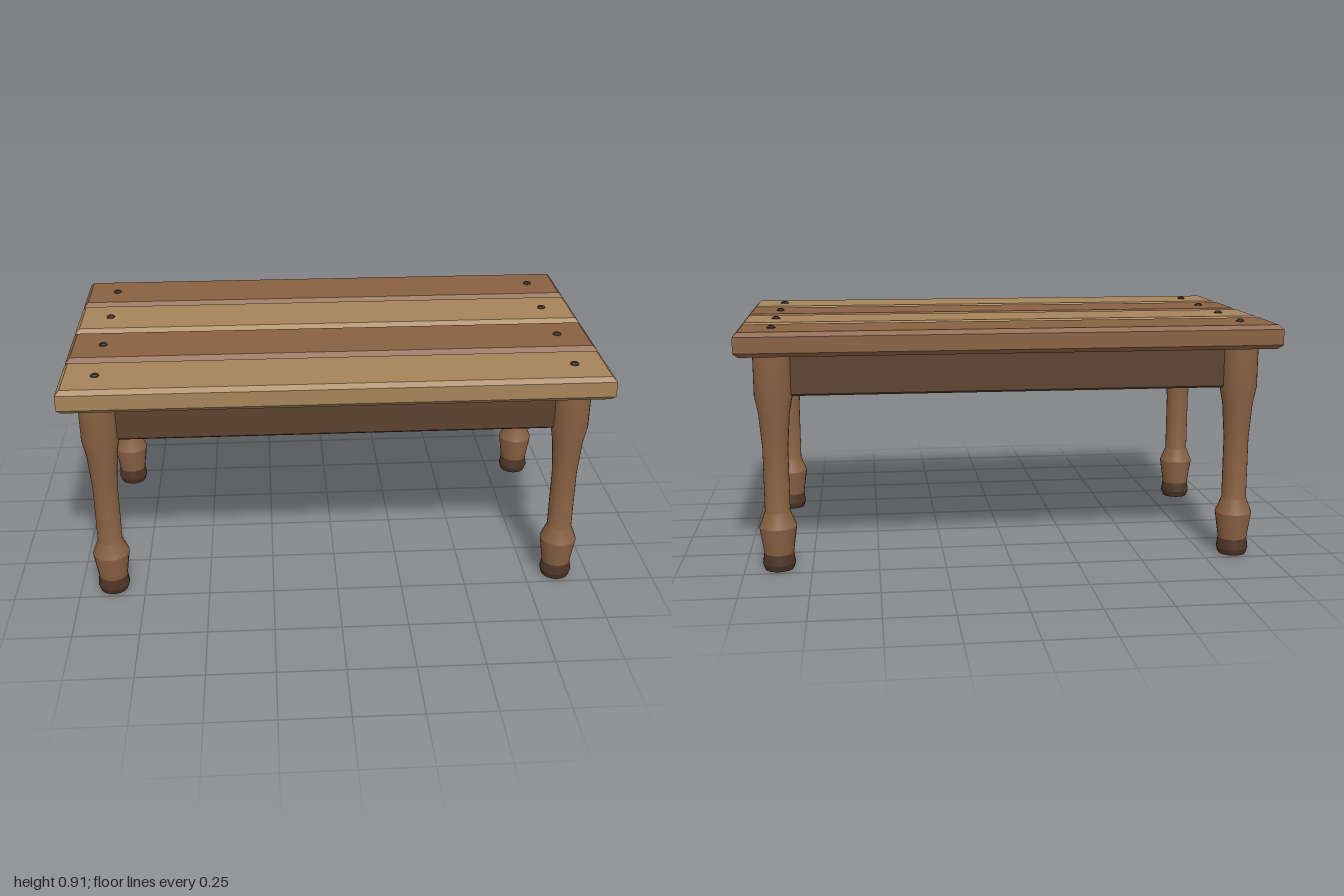
import * as THREE from 'three';
import { toCreasedNormals } from 'three/addons/utils/BufferGeometryUtils.js';

const material = (name, color) => new THREE.MeshStandardMaterial({ name, color });

// Box with chamfered top and bottom edges, standing on y = 0
function chamferedBoard(width, height, depth, chamfer) {
  const x = width / 2 - chamfer, z = depth / 2 - chamfer;
  const shape = new THREE.Shape([[-x, -z], [x, -z], [x, z], [-x, z]].map(p => new THREE.Vector2(...p)));
  const geometry = new THREE.ExtrudeGeometry(shape, {
    depth: height - 2 * chamfer, bevelEnabled: true, bevelSegments: 1,
    bevelSize: chamfer, bevelThickness: chamfer,
  });
  return geometry.rotateX(-Math.PI / 2).translate(0, chamfer, 0);
}

// Turned piece from [radius, height] pairs, with crisp rings
function turned(profile, sides) {
  const points = profile.map(([r, y]) => new THREE.Vector2(r, y));
  return toCreasedNormals(new THREE.LatheGeometry(points, sides), 0.4);
}

export function createModel() {
  const table = new THREE.Group();
  table.name = 'plankTable';
  const lightWood = material('lightWood', 0xa5845a);
  const warmWood = material('warmWood', 0x896142);
  const darkWood = material('darkWood', 0x5d412f);
  const footWood = material('footWood', 0x4c3526);
  const boltMetal = material('darkBolt', 0x402d22);

  const add = (name, geometry, mat, x, y, z) => {
    const mesh = new THREE.Mesh(geometry, mat);
    mesh.name = name;
    mesh.position.set(x, y, z);
    table.add(mesh);
  };

  const legX = 0.873, legZ = 0.433;

  // Table top planks with a bolt at each end
  const plank = chamferedBoard(2, 0.09, 0.264, 0.016);
  const bolt = turned([[0.016, -0.005], [0.016, 0.004], [0.009, 0.01], [0, 0.01]], 8);
  [0.425, 0.1415, -0.1415, -0.425].forEach((z, i) => {
    add('plank', plank, i % 2 ? warmWood : lightWood, 0, 0.815, z);
    for (const side of [-1, 1]) add('bolt', bolt, boltMetal, side * legX, 0.904, z);
  });

  // Aprons between the legs
  const longApron = chamferedBoard(2 * legX, 0.16, 0.048, 0.007);
  const shortApron = chamferedBoard(0.048, 0.16, 2 * legZ, 0.007);
  for (const side of [-1, 1]) {
    add('longApron', longApron, darkWood, 0, 0.658, side * legZ);
    add('shortApron', shortApron, darkWood, side * legX, 0.658, 0);
  }

  // Turned legs and dark feet
  const leg = turned([
    [0.055, 0.062], [0.07, 0.165], [0.047, 0.222], [0.047, 0.46],
    [0.057, 0.59], [0.07, 0.66], [0.07, 0.818],
  ], 24);
  const foot = turned([[0, 0], [0.053, 0], [0.061, 0.024], [0.055, 0.063], [0, 0.063]], 24);
  for (const x of [-legX, legX]) {
    for (const z of [-legZ, legZ]) {
      add('leg', leg, warmWood, x, 0, z);
      add('foot', foot, footWood, x, 0, z);
    }
  }
  return table;
}
